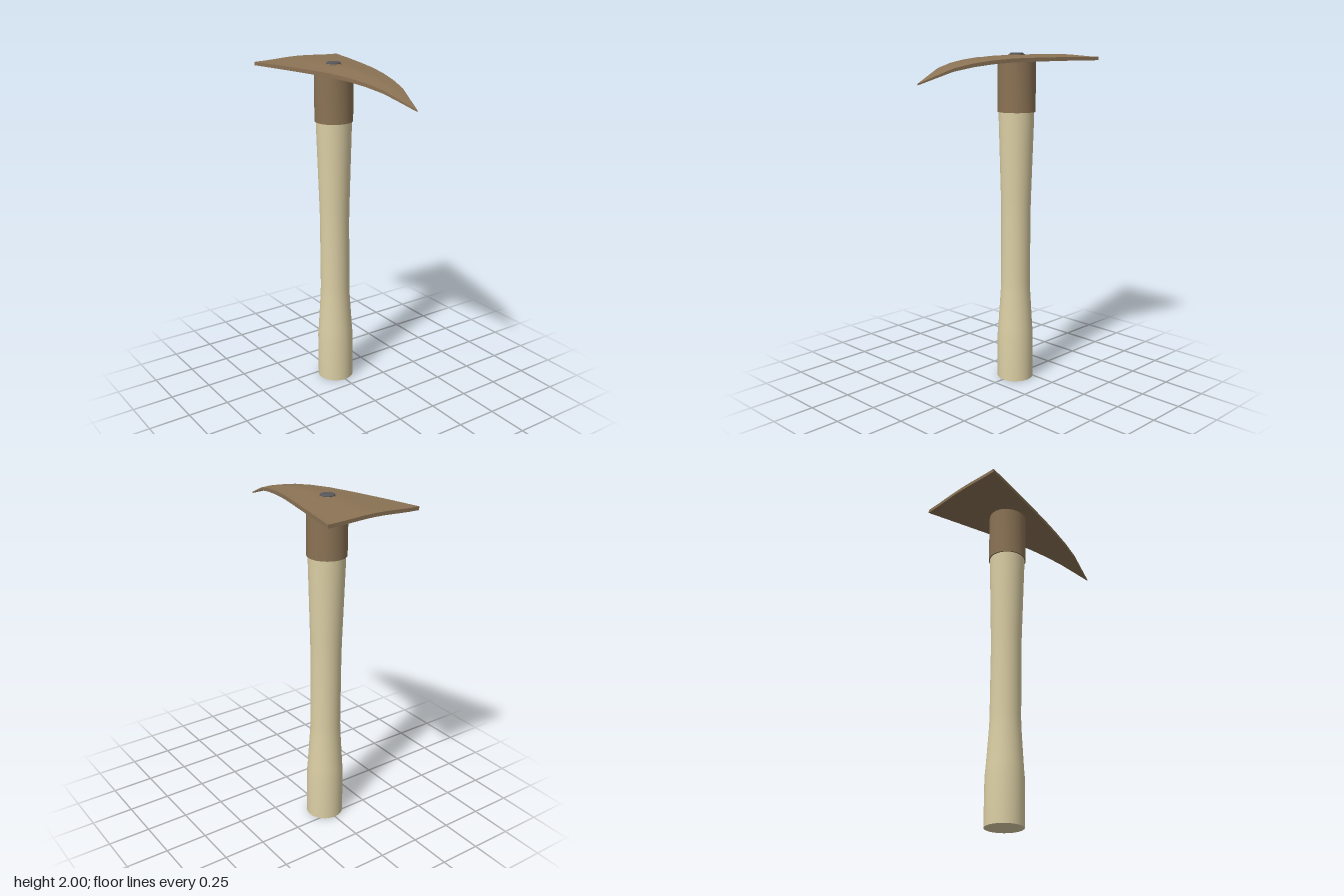
import * as THREE from 'three';
import { toCreasedNormals } from 'three/addons/utils/BufferGeometryUtils.js';

const HANDLE_Z = -0.18;
const wood = new THREE.MeshStandardMaterial({ color: 0xdccfa5 });
const bronze = new THREE.MeshStandardMaterial({ color: 0x8b7355 });
const iron = new THREE.MeshStandardMaterial({ color: 0x58585a });

// Turned part around the handle axis from [radius, height] pairs
function turned(name, profile, material) {
  const points = profile.map(([r, y]) => new THREE.Vector2(r, y));
  const geometry = toCreasedNormals(new THREE.LatheGeometry(points, 32), 0.5);
  const mesh = new THREE.Mesh(geometry, material);
  mesh.name = name;
  mesh.position.z = HANDLE_Z;
  return mesh;
}

// Thin tapering blade lofted through closed cross-sections
function bladeGeometry() {
  // z, half width, crown height, drop at the edges, thickness
  const rows = [
    [-0.58, 0.29, 1.986, 0.011, 0.02],
    [-0.38, 0.244, 1.989, 0.012, 0.021],
    [-0.18, 0.196, 1.99, 0.013, 0.022],
    [0, 0.152, 1.987, 0.012, 0.022],
    [0.14, 0.119, 1.974, 0.008, 0.021],
    [0.26, 0.091, 1.957, 0.005, 0.02],
    [0.38, 0.062, 1.931, 0.003, 0.017],
    [0.48, 0.031, 1.892, 0.001, 0.013],
    [0.58, 0.001, 1.853, 0, 0.008],
  ];
  const n = 9;
  const loop = n * 2;
  const positions = [];
  const indices = [];
  for (const [z, w, y, drop, thick] of rows) {
    for (let i = 0; i < loop; i++) {
      const top = i < n;
      const t = ((top ? i : loop - 1 - i) / (n - 1)) * 2 - 1;
      const crown = y - drop * (0.5 - 0.5 * Math.cos(Math.PI * t));
      positions.push(t * w, top ? crown : crown - thick, z);
    }
  }
  for (let r = 0; r < rows.length - 1; r++) {
    for (let i = 0; i < loop; i++) {
      const a = r * loop + i;
      const b = r * loop + ((i + 1) % loop);
      indices.push(a, a + loop, b, b, a + loop, b + loop);
    }
  }
  // End caps: back edge and tip
  const last = (rows.length - 1) * loop;
  for (let i = 0; i < n - 1; i++) {
    const j = loop - 1 - i;
    indices.push(j, i, i + 1, j, i + 1, j - 1);
    indices.push(last + j, last + i + 1, last + i, last + j, last + j - 1, last + i + 1);
  }
  const geometry = new THREE.BufferGeometry();
  geometry.setAttribute('position', new THREE.Float32BufferAttribute(positions, 3));
  geometry.setIndex(indices);
  return toCreasedNormals(geometry, 0.6);
}

export function createModel() {
  const model = new THREE.Group();
  model.name = 'pickTool';

  // Waisted wooden handle
  model.add(turned('handle', [
    [0, 0], [0.11, 0], [0.11, 0.28], [0.105, 0.34], [0.091, 0.56], [0.089, 0.62],
    [0.089, 1.06], [0.091, 1.15], [0.105, 1.62], [0.106, 1.7], [0, 1.7],
  ], wood));

  // Socket gripping the top of the handle
  model.add(turned('socket', [
    [0, 1.66], [0.113, 1.66], [0.113, 1.97], [0, 1.97],
  ], bronze));

  // Curved pointed blade
  const blade = new THREE.Mesh(bladeGeometry(), bronze);
  blade.name = 'blade';
  model.add(blade);

  // Washer and rivet through the blade
  model.add(turned('washer', [
    [0, 1.97], [0.05, 1.97], [0.05, 1.99], [0.046, 1.992], [0, 1.992],
  ], bronze));
  model.add(turned('rivet', [
    [0, 1.97], [0.042, 1.97], [0.042, 1.996], [0.037, 2], [0, 2],
  ], iron));

  return model;
}
